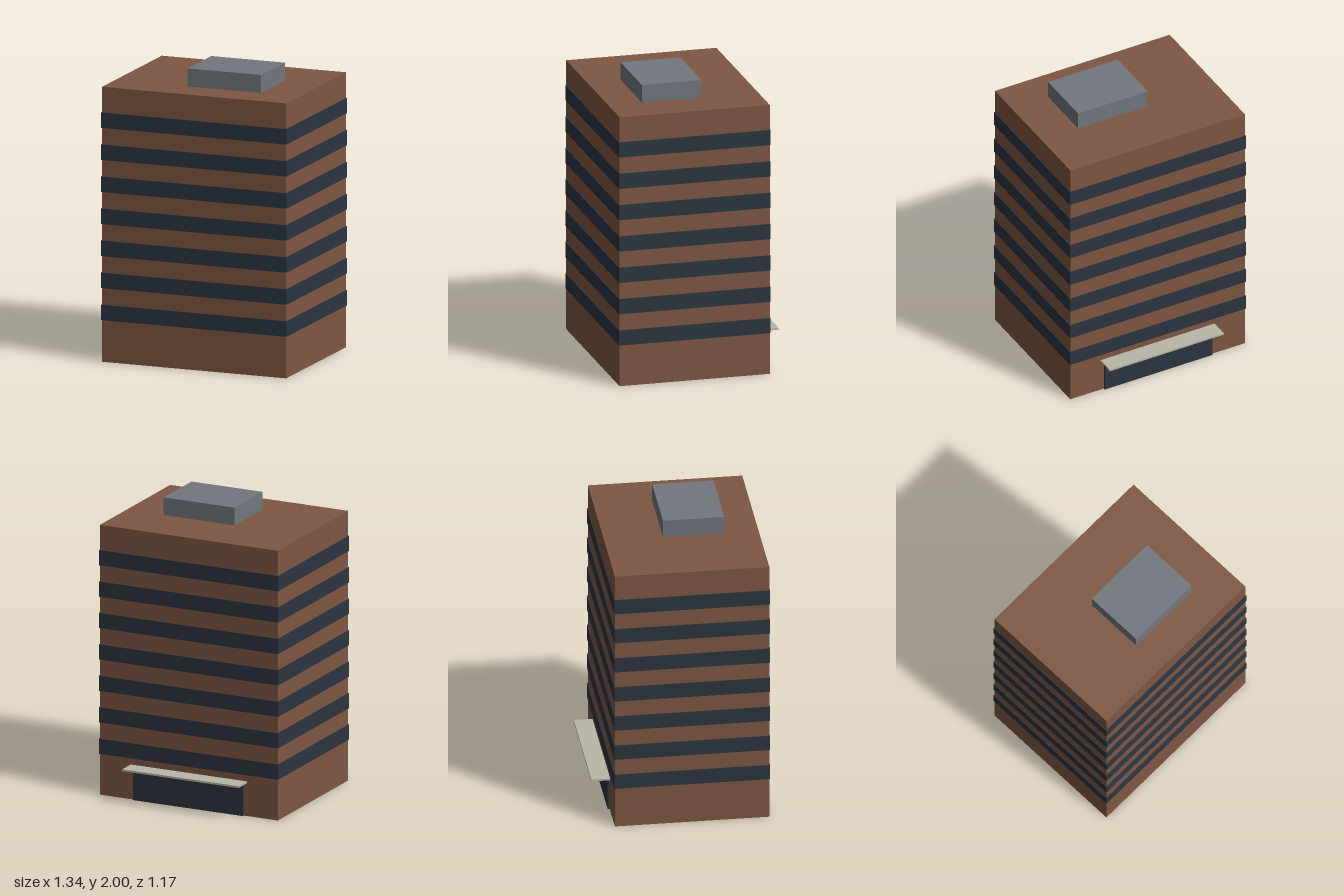
import * as THREE from 'three';

// Box given by its min/max extents on each axis
function block(name, color, [x0, x1], [y0, y1], [z0, z1]) {
  const mesh = new THREE.Mesh(
    new THREE.BoxGeometry(x1 - x0, y1 - y0, z1 - z0),
    new THREE.MeshStandardMaterial({ color })
  );
  mesh.position.set((x0 + x1) / 2, (y0 + y1) / 2, (z0 + z1) / 2);
  mesh.name = name;
  return mesh;
}

export function createModel() {
  const group = new THREE.Group();
  group.name = 'officeBuilding';
  const brick = 0x7f5743, glass = 0x2c3540, steel = 0x72777f, stone = 0xbab7a9;

  // Main brick volume
  group.add(block('buildingBody', brick, [-0.665, 0.665], [0, 1.877], [-0.459, 0.58]));

  // Window bands wrapping every upper floor
  const windows = new THREE.Group();
  windows.name = 'windowBands';
  for (let i = 0; i < 7; i++) {
    const y = 0.285 + i * 0.2187;
    windows.add(block(`windowBand${i + 1}`, glass, [-0.67, 0.67], [y, y + 0.105], [-0.464, 0.585]));
  }
  group.add(windows);

  // Rooftop plant room
  group.add(block('roofPlantRoom', steel, [-0.142, 0.388], [1.877, 2], [-0.064, 0.349]));

  // Rear entrance with a thin canopy above it
  group.add(block('entranceGlazing', glass, [-0.41, 0.41], [0, 0.21], [-0.473, -0.452]));
  group.add(block('entranceCanopy', stone, [-0.434, 0.434], [0.228, 0.241], [-0.585, -0.455]));

  return group;
}
